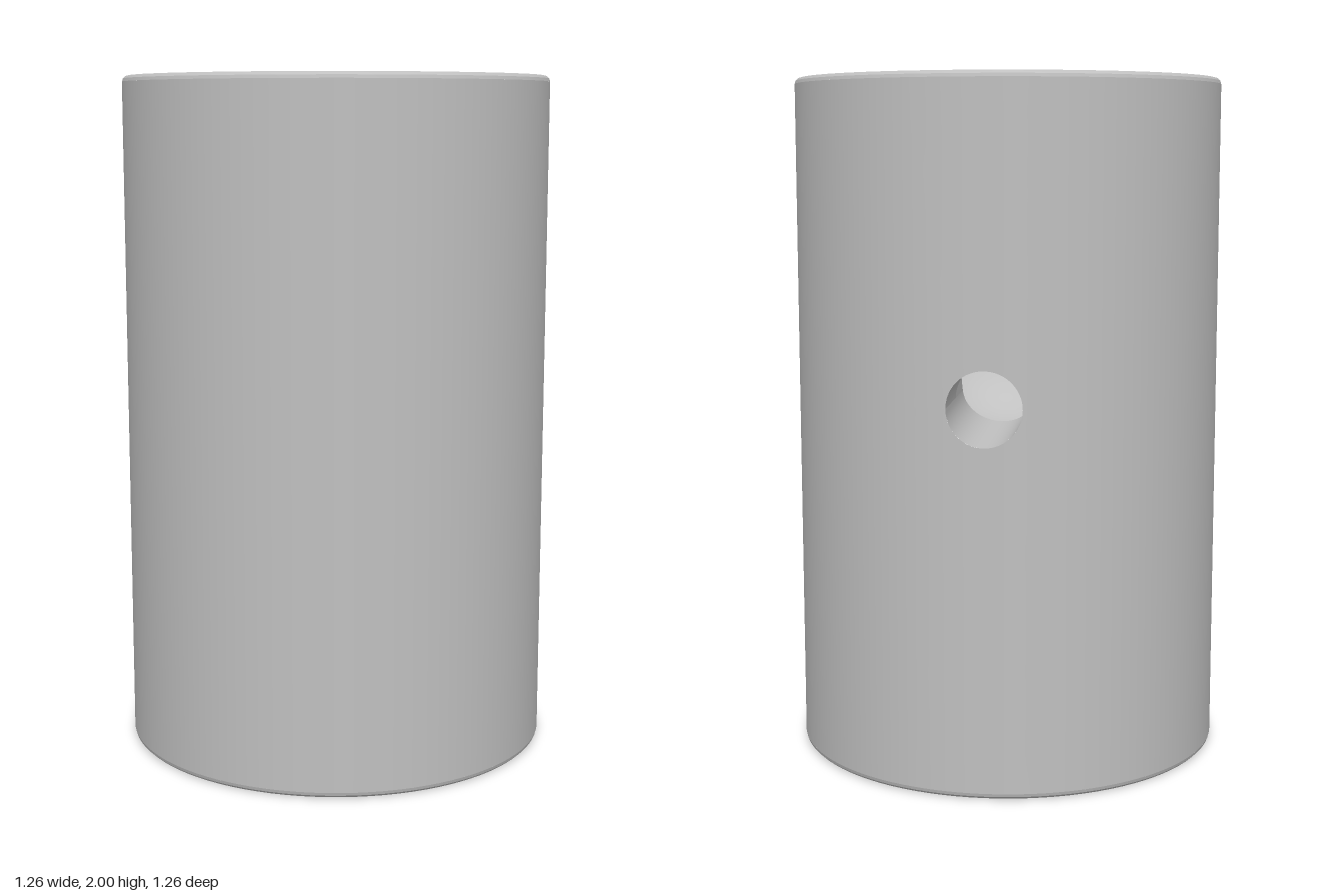
import * as THREE from 'three';
import { toCreasedNormals } from 'three/addons/utils/BufferGeometryUtils.js';

const R = 0.63, H = 2, F = 0.018;            // body radius, height, edge rounding
const BORE = 0.34, DOME_Y = 1.295;           // blind bore with a round bottom
const W = 0.105, KEY_Z = -0.41, HOLE_Y = 1.1; // keyway half width (= side hole radius)
const PATCH = 0.2;                           // half width of wall strip around the side hole

// Surface from a rule f(u, v) -> [x, y, z], facing dU x dV
function grid(nu, nv, f) {
  const pos = [], idx = [];
  for (let i = 0; i <= nu; i++)
    for (let j = 0; j <= nv; j++) pos.push(...f(i / nu, j / nv, i, j));
  for (let i = 0; i < nu; i++)
    for (let j = 0; j < nv; j++) {
      const a = i * (nv + 1) + j, b = a + nv + 1;
      idx.push(a, b, a + 1, b, b + 1, a + 1);
    }
  const g = new THREE.BufferGeometry();
  g.setAttribute('position', new THREE.Float32BufferAttribute(pos, 3));
  g.setIndex(idx);
  g.computeVertexNormals();
  return g;
}

const lerp = THREE.MathUtils.lerp;

export function createModel() {
  const group = new THREE.Group();
  const steel = new THREE.MeshStandardMaterial({ color: 0xc0c0c0 });
  steel.name = 'steel grey';
  const add = (name, geometry, crease = true) => {
    const mesh = new THREE.Mesh(crease ? toCreasedNormals(geometry, 0.35) : geometry, steel);
    mesh.name = name;
    group.add(mesh);
    return mesh;
  };

  // Outer wall, leaving a strip at the back for the side hole
  const gap = Math.asin(PATCH / R);
  add('outerWall', new THREE.LatheGeometry(
    [new THREE.Vector2(R, F), new THREE.Vector2(R, H - F)],
    96, Math.PI + gap, 2 * Math.PI - 2 * gap), false);

  // Back strip of the wall, spreading from the round hole to a rectangle
  add('backWall', grid(96, 10, (u, v) => {
    const t = u * 2 * Math.PI, c = Math.cos(t), s = Math.sin(t);
    const m = Math.max(Math.abs(c), Math.abs(s));
    const edgeY = HOLE_Y + (s / m) * (s > 0 ? H - F - HOLE_Y : HOLE_Y - F);
    const x = lerp(W * c, PATCH * c / m, v);
    return [x, lerp(HOLE_Y + W * s, edgeY, v), -Math.sqrt(R * R - x * x)];
  }), false);

  // Rounded outer edges and closed bottom
  const bottom = [new THREE.Vector2(0, 0)], top = [];
  for (let i = 0; i <= 3; i++) {
    const a = i * Math.PI / 6;
    bottom.push(new THREE.Vector2(R - F + F * Math.sin(a), F - F * Math.cos(a)));
    top.push(new THREE.Vector2(R - F + F * Math.cos(a), H - F + F * Math.sin(a)));
  }
  add('bottomCap', new THREE.LatheGeometry(bottom, 96));
  add('topEdge', new THREE.LatheGeometry(top, 96));

  // Top ring with the keyed opening
  const rim = BORE + F, rimGap = Math.asin(W / rim);
  const ring = new THREE.Shape().absarc(0, 0, R - F, 0, 2 * Math.PI);
  const opening = new THREE.Path();
  opening.absarc(0, 0, rim, Math.PI / 2 + rimGap, 2.5 * Math.PI - rimGap);
  opening.lineTo(W, -KEY_Z);
  opening.lineTo(-W, -KEY_Z);
  ring.holes.push(opening);
  const face = add('topFace', new THREE.ShapeGeometry(ring, 96), false);
  face.rotation.x = -Math.PI / 2;
  face.position.y = H;

  // Bore profile as [radius, height]: round bottom, straight side, rounded rim
  const domeRadius = y => Math.sqrt(Math.max(0, BORE ** 2 - (DOME_Y - y) ** 2));
  const profile = [];
  for (let i = 0; i <= 48; i++) {
    const a = i / 48 * Math.PI / 2;
    profile.push([BORE * Math.sin(a), DOME_Y - BORE * Math.cos(a)]);
  }
  for (let i = 0; i <= 3; i++) {
    const a = i * Math.PI / 6;
    profile.push([rim - F * Math.cos(a), H - F + F * Math.sin(a)]);
  }

  // Bore, open where the keyway and side hole cut it
  add('bore', grid(96, profile.length - 1, (u, v, i, j) => {
    const [r, y] = profile[j];
    const half = y >= HOLE_Y ? W : Math.sqrt(Math.max(0, W * W - (y - HOLE_Y) ** 2));
    const g = half > 0 ? Math.asin(Math.min(1, half / r)) : 0;
    const t = lerp(g, 2 * Math.PI - g, u);
    return [r * Math.sin(t), y, -r * Math.cos(t)];
  }));

  // Keyway sides
  const rows = [[domeRadius(HOLE_Y), HOLE_Y], ...profile.filter(p => p[1] > HOLE_Y + 0.001)];
  for (const side of [-1, 1])
    add(side > 0 ? 'keywayLeftSide' : 'keywayRightSide', grid(rows.length - 1, 1, (u, v, i) => {
      const [r, y] = rows[i];
      const inner = -Math.sqrt(r * r - W * W);
      return [side * W, y, (v === 1) === (side > 0) ? KEY_Z : inner];
    }));

  // Keyway floor, notched by the side hole
  const floor = new THREE.Shape();
  floor.moveTo(W, HOLE_Y);
  floor.lineTo(W, H);
  floor.lineTo(-W, H);
  floor.lineTo(-W, HOLE_Y);
  floor.absarc(0, HOLE_Y, W, Math.PI, 0, true);
  add('keywayFloor', new THREE.ShapeGeometry(floor, 24), false).position.z = KEY_Z;

  // Side hole: upper half stops at the keyway floor, lower half runs into the bore
  for (const lower of [false, true])
    add(lower ? 'sideHoleLower' : 'sideHoleUpper', grid(24, 1, (u, v) => {
      const t = (u + (lower ? 1 : 0)) * Math.PI;
      const x = W * Math.cos(t), y = HOLE_Y + W * Math.sin(t);
      const inner = lower ? -Math.sqrt(Math.max(0, domeRadius(y) ** 2 - x * x)) : KEY_Z;
      return [x, y, v === 0 ? inner : -Math.sqrt(R * R - x * x)];
    }));

  return group;
}
